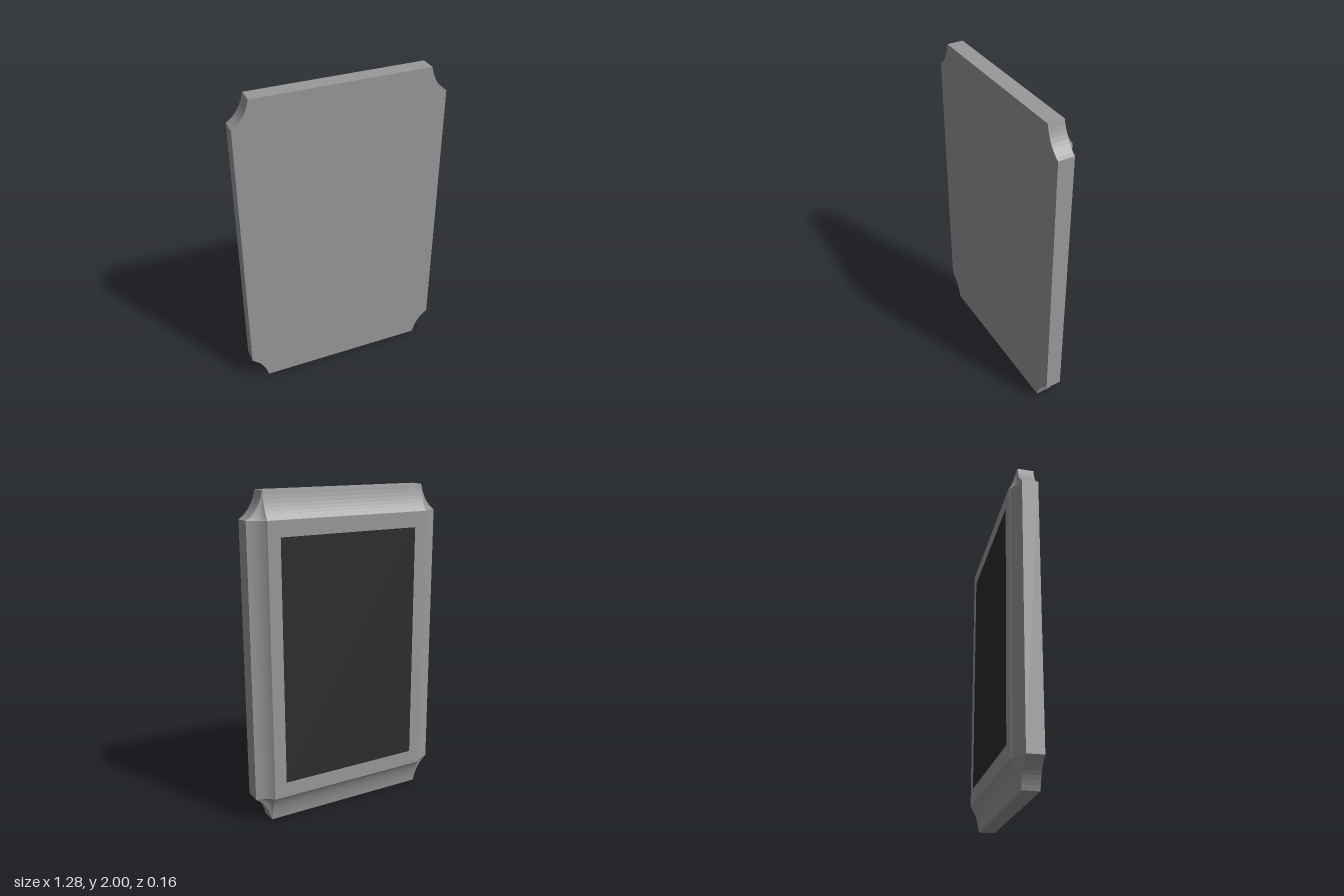
import * as THREE from 'three';

const HALF_W = 0.638, FACE_W = 0.535; // outer and back-face half widths
const HALF_H = 1, FACE_H = 0.84;      // outer and back-face half heights
const FRONT = 0.078, STEP = -0.022, BACK = -0.078;

// Scooped corner, as offsets from the back-face corner
const scoop = new THREE.QuadraticBezierCurve(
  new THREE.Vector2(HALF_W - FACE_W, 0),
  new THREE.Vector2(0.024, 0.048),
  new THREE.Vector2(0, HALF_H - FACE_H)
).getPoints(8);

// Cove section: x is the share of the inset, y the share of the depth
const cove = new THREE.QuadraticBezierCurve(
  new THREE.Vector2(0, 0),
  new THREE.Vector2(0.65, 0.25),
  new THREE.Vector2(1, 1)
).getPoints(8);

// Counter-clockwise outline; s = 1 is the full outline, s = 0 the plain rectangle
function outline(s) {
  const points = [];
  for (const [sx, sy] of [[1, 1], [-1, 1], [-1, -1], [1, -1]]) {
    const corner = scoop.map(p => new THREE.Vector2(sx * (FACE_W + s * p.x), sy * (FACE_H + s * p.y)));
    if (sx * sy < 0) corner.reverse();
    points.push(...corner);
  }
  return points;
}

// Hollow moulding running from the slab edge in to the back face
function coveGeometry() {
  const rings = cove.map(c => outline(1 - c.x).map(
    p => new THREE.Vector3(p.x, p.y, STEP + (BACK - STEP) * c.y)));
  const pos = [];
  const tri = (a, b, c) => {
    const area = b.clone().sub(a).cross(c.clone().sub(a)).length();
    if (area > 1e-9) for (const p of [a, b, c]) pos.push(p.x, p.y, p.z);
  };
  const n = rings[0].length;
  for (let j = 0; j < rings.length - 1; j++) {
    for (let i = 0; i < n; i++) {
      const k = (i + 1) % n;
      tri(rings[j][i], rings[j + 1][i], rings[j][k]);
      tri(rings[j][k], rings[j + 1][i], rings[j + 1][k]);
    }
  }
  const geometry = new THREE.BufferGeometry();
  geometry.setAttribute('position', new THREE.Float32BufferAttribute(pos, 3));
  geometry.computeVertexNormals();
  return geometry;
}

export function createModel() {
  const group = new THREE.Group();
  group.name = 'panelledPlaque';
  const grey = new THREE.MeshStandardMaterial({ color: 0x999999, flatShading: true });
  const dark = new THREE.MeshStandardMaterial({ color: 0x2c2c2c });

  const add = (name, geometry, material, z) => {
    const mesh = new THREE.Mesh(geometry, material);
    mesh.name = name;
    mesh.position.set(0, HALF_H, z);
    group.add(mesh);
    return mesh;
  };

  // Flat front slab with scooped corners
  const slab = new THREE.ExtrudeGeometry(new THREE.Shape(outline(1)), { depth: FRONT - STEP, bevelEnabled: false });
  add('frontSlab', slab, grey, STEP);

  // Coved border and the flat back it frames
  add('coveMoulding', coveGeometry(), grey, 0);
  add('backFace', new THREE.PlaneGeometry(FACE_W * 2, FACE_H * 2), grey, BACK).rotation.y = Math.PI;

  // Dark panel lying flush on the back
  add('darkPanel', new THREE.PlaneGeometry(0.914, 1.49), dark, BACK - 0.001).rotation.y = Math.PI;

  return group;
}
